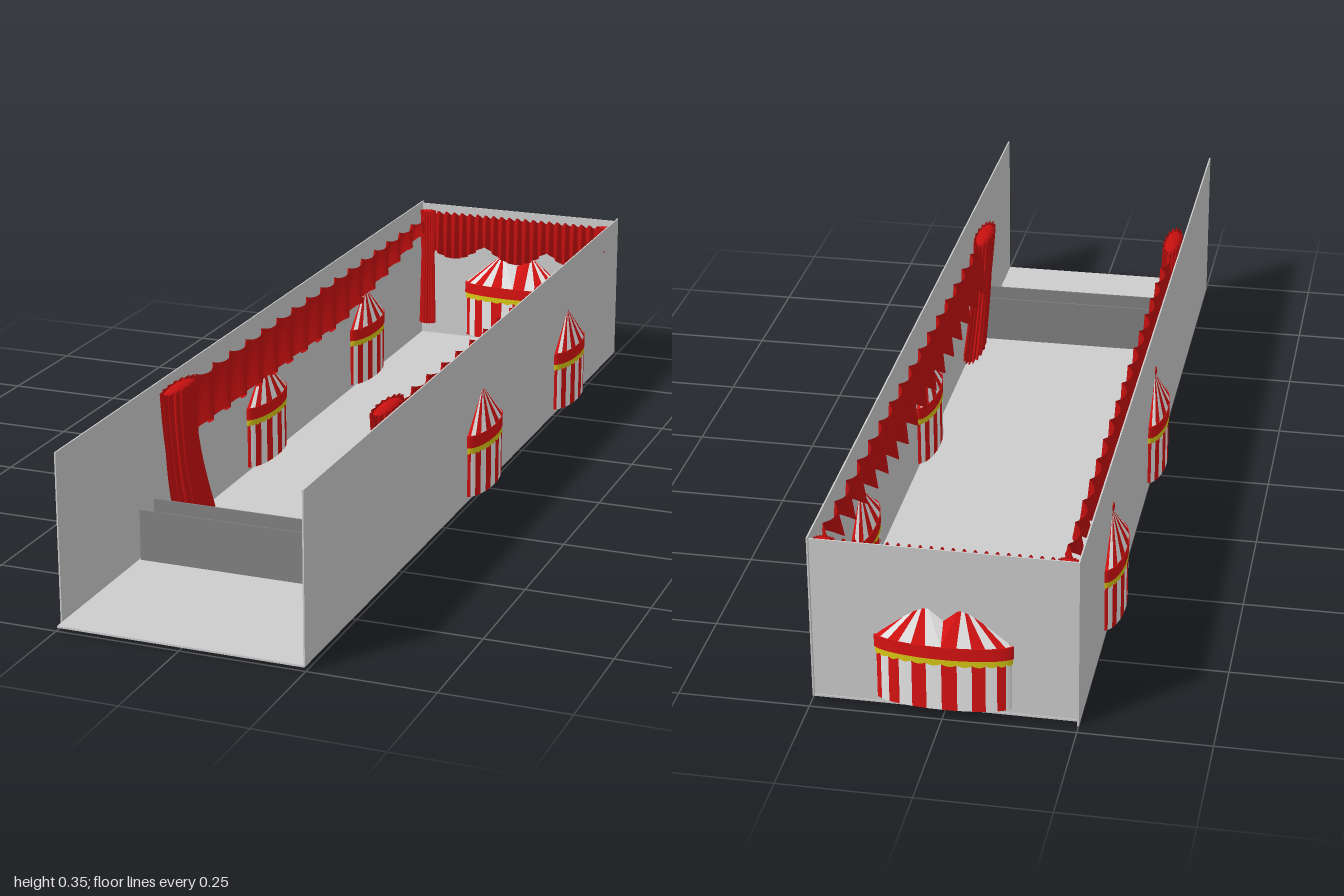
import * as THREE from 'three';

const mat = (name, color, side = THREE.FrontSide) => {
  const m = new THREE.MeshStandardMaterial({ color, side });
  m.name = name;
  return m;
};

export function createModel() {
  const model = new THREE.Group();
  const wallGrey = mat('wall grey', 0xcccccc, THREE.DoubleSide);
  const barrierGrey = mat('barrier grey', 0x808080, THREE.DoubleSide);
  const curtainRed = mat('curtain red', 0xc81010, THREE.DoubleSide);
  const tentRed = mat('tent red', 0xd81212, THREE.DoubleSide);
  const tentWhite = mat('tent white', 0xf0f0f0, THREE.DoubleSide);
  const trimYellow = mat('trim yellow', 0xd8c814, THREE.DoubleSide);
  const stripes = [tentRed, tentWhite];

  const add = (parent, name, geometry, material, x = 0, y = 0, z = 0) => {
    const mesh = new THREE.Mesh(geometry, material);
    mesh.name = name;
    mesh.position.set(x, y, z);
    parent.add(mesh);
    return mesh;
  };
  const box = (name, w, h, d, x, y, z, material) =>
    add(model, name, new THREE.BoxGeometry(w, h, d), material, x, y, z);

  // Open hall
  box('floor', 0.495, 0.004, 1.975, 0, 0.013, 0.0125, wallGrey);
  box('leftWall', 0.003, 0.335, 1.98, 0.247, 0.1825, 0.01, wallGrey);
  box('rightWall', 0.003, 0.345, 1.96, -0.249, 0.1765, 0, wallGrey);
  box('backWall', 0.495, 0.33, 0.003, 0, 0.18, -0.972, wallGrey);
  for (const z of [0.585, 0.65]) {
    box('frontBarrier', 0.488, 0.105, 0.003, 0, 0.0675, z, barrierGrey);
  }

  // Striped roof: an elliptical ring drawn up to one or two peaks
  function roofGeometry(rx, rz, y0, y1, n, split) {
    const faces = [[], []];
    const rim = i => {
      const a = (i / n) * Math.PI * 2;
      return [Math.sin(a) * rx, y0, Math.cos(a) * rz];
    };
    const right = [split, y1, 0], left = [-split, y1, 0];
    for (let i = 0; i < n; i++) {
      faces[i % 2].push(...rim(i), ...rim(i + 1), ...(i < n / 2 ? right : left));
    }
    if (split) {
      // Valley between the two peaks
      const dip = [0, y1 - 0.03, 0], f = rim(0), b = rim(n / 2);
      faces[1].push(...f, ...dip, ...left, ...b, ...dip, ...right);
      faces[0].push(...f, ...right, ...dip, ...b, ...left, ...dip);
    }
    const g = new THREE.BufferGeometry();
    g.setAttribute('position', new THREE.Float32BufferAttribute([...faces[0], ...faces[1]], 3));
    g.addGroup(0, faces[0].length / 3, 0);
    g.addGroup(faces[0].length / 3, faces[1].length / 3, 1);
    g.computeVertexNormals();
    return g;
  }

  function ring(rx, rz, y0, y1, n, open = true) {
    const g = new THREE.CylinderGeometry(1, 1, y1 - y0, n, 1, open);
    g.scale(rx, 1, rz);
    g.translate(0, (y0 + y1) / 2, 0);
    return g;
  }

  function tent(name, x, z, rx, rz, n, split = 0) {
    const g = new THREE.Group();
    g.name = name;
    g.position.set(x, 0, z);
    const walls = ring(rx * 0.97, rz * 0.97, 0.024, 0.135, n);
    walls.clearGroups();
    for (let i = 0; i < n; i++) walls.addGroup(i * 6, 6, i % 2);
    add(g, 'tentWalls', walls, stripes);
    const base = ring(rx * 0.96, rz * 0.96, 0.024, 0.026, n, false);
    add(g, 'tentBase', base, tentRed);

    // Yellow trim with a scalloped lower edge
    const trim = ring(rx * 0.985, rz * 0.985, 0.118, 0.134, n * 4);
    const p = trim.attributes.position;
    for (let i = 0; i < p.count; i++) {
      if (p.getY(i) < 0.125) {
        const k = i % (n * 4 + 1);
        p.setY(i, 0.122 - 0.004 * Math.abs(Math.sin((k / 4) * Math.PI)));
      }
    }
    add(g, 'yellowTrim', trim, trimYellow);
    add(g, 'redBand', ring(rx, rz, 0.132, 0.158, n * 2, false), tentRed);
    add(g, 'stripedRoof', roofGeometry(rx * 0.97, rz * 0.97, 0.158, 0.238, n, split), stripes);
    model.add(g);
    return g;
  }

  for (const z of [0.02, -0.58]) {
    tent('leftTent', 0.247, z, 0.031, 0.1, 24);
    const right = tent('rightTent', -0.249, z, 0.031, 0.1, 24);
    const finial = new THREE.SphereGeometry(0.01, 10, 8);
    finial.scale(0.5, 1, 1);
    add(right, 'finial', finial, tentRed, 0, 0.243, 0);
  }
  tent('backTent', 0, -0.967, 0.133, 0.033, 28, 0.035);

  // Cloth: a grid reshaped by a rule, u across and v from top to bottom
  function cloth(name, nu, nv, rule) {
    const g = new THREE.PlaneGeometry(1, 1, nu, nv);
    const p = g.attributes.position, uv = g.attributes.uv;
    for (let i = 0; i < p.count; i++) p.setXYZ(i, ...rule(uv.getX(i), 1 - uv.getY(i)));
    g.computeVertexNormals();
    add(model, name, g, curtainRed);
  }

  // Back valance with three swags
  cloth('backValance', 216, 8, (u, v) => {
    const x = (u - 0.5) * 0.485;
    const pleat = Math.sin(u * Math.PI * 48);
    const bottom = 0.256 - 0.039 * Math.abs(Math.cos((x / 0.16) * Math.PI)) + 0.003 * pleat;
    const top = 0.331 + 0.005 * pleat;
    return [x, top + (bottom - top) * v, -0.95 + (0.005 + 0.005 * v) * pleat];
  });

  // Side valances, deeper towards the front
  for (const side of [1, -1]) {
    cloth(side > 0 ? 'leftValance' : 'rightValance', 192, 8, (u, v) => {
      const z = -0.9 + 1.38 * u;
      const phase = ((z + 0.9) / 0.083) * Math.PI * 2;
      const wave = Math.sin(phase - v * 1.2);
      const centre = side > 0 ? 0.235 - 0.028 * u : -0.22;
      const bottom = 0.215 + 0.075 * Math.max(0, 1 - u / 0.4) - 0.012 * Math.cos(phase);
      const top = 0.326 + 0.005 * Math.cos(phase);
      return [centre + (0.008 + 0.008 * v) * wave, top + (bottom - top) * v, z];
    });
  }

  // Gathered drapes: closed pleated columns
  function drape(name, x, z, rx, rz, lean, bow) {
    cloth(name, 96, 10, (u, v) => {
      const a = u * Math.PI * 2;
      const r = (1 + 0.13 * Math.sin(a * 16)) * (0.85 + 0.15 * Math.abs(2 * v - 0.8));
      return [
        x + lean * v + Math.sin(a) * rx * r,
        0.333 - 0.285 * v,
        z + bow * Math.sin(v * Math.PI) - 0.02 * v * Math.sign(bow) + Math.cos(a) * rz * r,
      ];
    });
    // Gathered top
    const cap = new THREE.SphereGeometry(1, 16, 8);
    cap.scale(rx * 0.95, 0.012, rz * 0.95);
    add(model, name + 'Top', cap, curtainRed, x, 0.324, z);
  }
  drape('rightFrontDrape', -0.222, 0.505, 0.019, 0.072, 0.022, 0.018);
  drape('leftFrontDrape', 0.204, 0.47, 0.019, 0.072, 0.022, 0.018);
  for (const s of [1, -1]) {
    drape(s > 0 ? 'leftBackDrape' : 'rightBackDrape', s * 0.225, -0.948, 0.018, 0.012, 0, 0);
  }

  return model;
}
